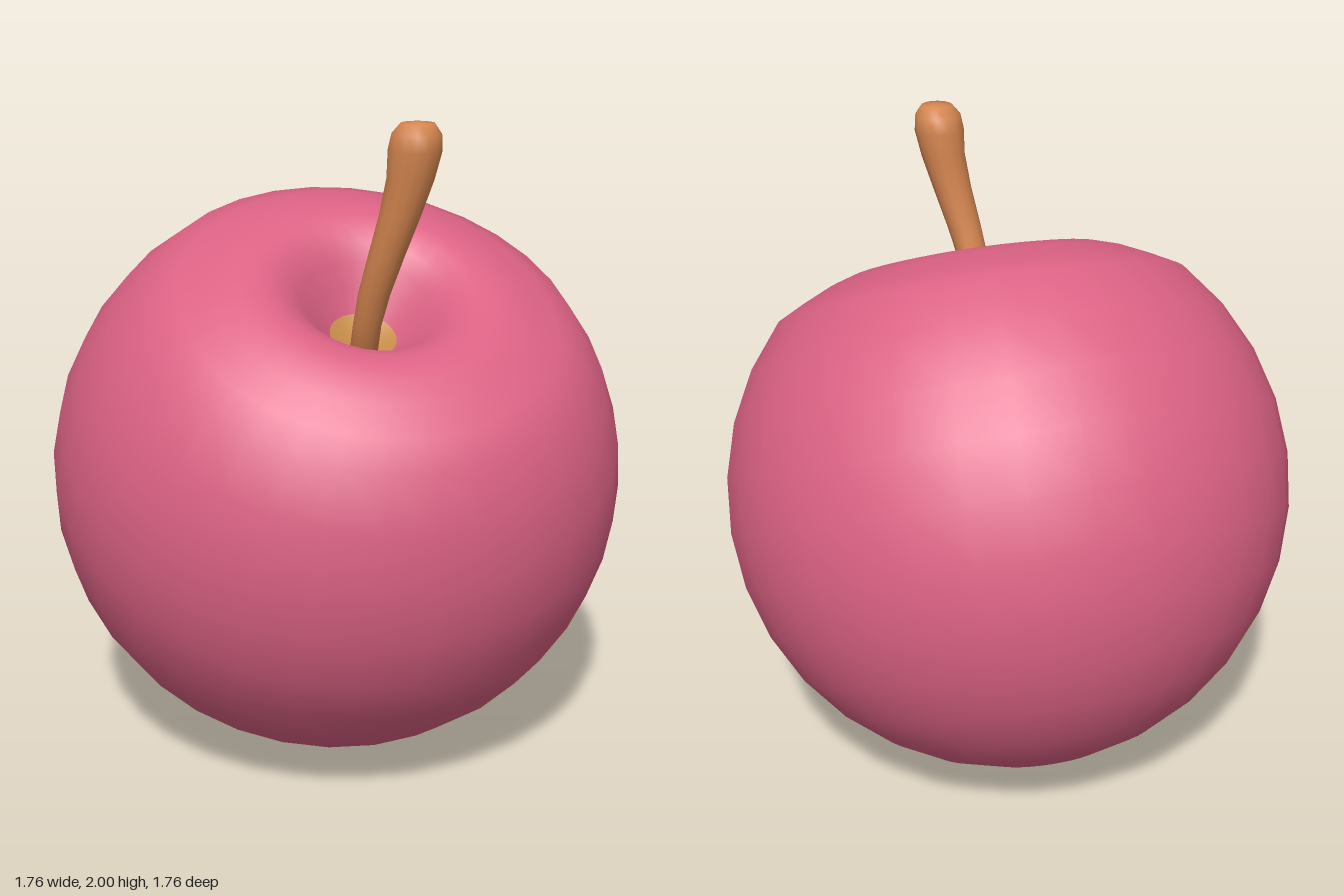
import * as THREE from 'three';
import { mergeVertices } from 'three/addons/utils/BufferGeometryUtils.js';

const RADIUS = 0.88;
const toPoints = (list) => list.map(([r, h]) => new THREE.Vector2(r, h));

export function createModel() {
  const skin = new THREE.MeshStandardMaterial({ color: 0xdc6284 });
  skin.name = 'pinkSkin';
  const wood = new THREE.MeshStandardMaterial({ color: 0xd4854f });
  wood.name = 'stemBrown';
  const golden = new THREE.MeshStandardMaterial({ color: 0xc48a48 });
  golden.name = 'hollowGold';

  const apple = new THREE.Group();
  apple.name = 'apple';

  // Fruit: a sphere whose tilted top is flattened and sunk into a hollow
  const fruit = new THREE.Group();
  fruit.name = 'fruit';
  fruit.position.y = RADIUS;
  const axis = new THREE.Vector3(-0.24, 0.89, 0.385).normalize();
  fruit.quaternion.setFromUnitVectors(new THREE.Vector3(0, 1, 0), axis);

  const profile = [];
  for (let i = 0; i <= 12; i++) {
    const a = THREE.MathUtils.degToRad(-90 + (i * 133) / 12);
    profile.push([Math.max(0, RADIUS * Math.cos(a)), RADIUS * Math.sin(a)]);
  }
  const hollowEdge = [0.1, 0.53];
  profile.push(
    [0.56, 0.645], [0.47, 0.688], [0.4, 0.711], [0.345, 0.718], [0.295, 0.71],
    [0.245, 0.685], [0.2, 0.645], [0.15, 0.585], hollowEdge
  );
  const body = new THREE.Mesh(new THREE.LatheGeometry(toPoints(profile), 32), skin);
  body.name = 'body';

  // Coloured patch at the bottom of the hollow
  const patch = new THREE.Mesh(
    new THREE.LatheGeometry(toPoints([hollowEdge, [0.05, 0.507], [0, 0.5]]), 32), golden);
  patch.name = 'hollowPatch';
  fruit.add(body, patch);

  // Stem: a flared round rod bent along a curve
  const path = new THREE.CatmullRomCurve3([
    new THREE.Vector3(-0.145, 1.28, 0.215),
    new THREE.Vector3(-0.18, 1.45, 0.27),
    new THREE.Vector3(-0.184, 1.65, 0.342),
    new THREE.Vector3(-0.168, 1.83, 0.397),
    new THREE.Vector3(-0.163, 2.0, 0.42),
  ]);
  const centres = path.getPoints(80);
  const stemGeometry = new THREE.LatheGeometry(toPoints([
    [0, 1.28], [0.042, 1.28], [0.042, 1.4], [0.047, 1.5], [0.053, 1.62], [0.06, 1.74],
    [0.068, 1.84], [0.077, 1.92], [0.071, 1.965], [0.048, 1.995], [0, 2.0],
  ]), 14);
  const p = stemGeometry.attributes.position;
  for (let i = 0; i < p.count; i++) {
    const y = p.getY(i);
    const c = centres.reduce((a, b) => (Math.abs(b.y - y) < Math.abs(a.y - y) ? b : a));
    p.setXYZ(i, p.getX(i) + c.x, y, p.getZ(i) + c.z);
  }
  stemGeometry.deleteAttribute('uv');
  stemGeometry.deleteAttribute('normal');
  const stemSmooth = mergeVertices(stemGeometry);
  stemSmooth.computeVertexNormals();
  const stem = new THREE.Mesh(stemSmooth, wood);
  stem.name = 'stem';

  apple.add(fruit, stem);
  return apple;
}
